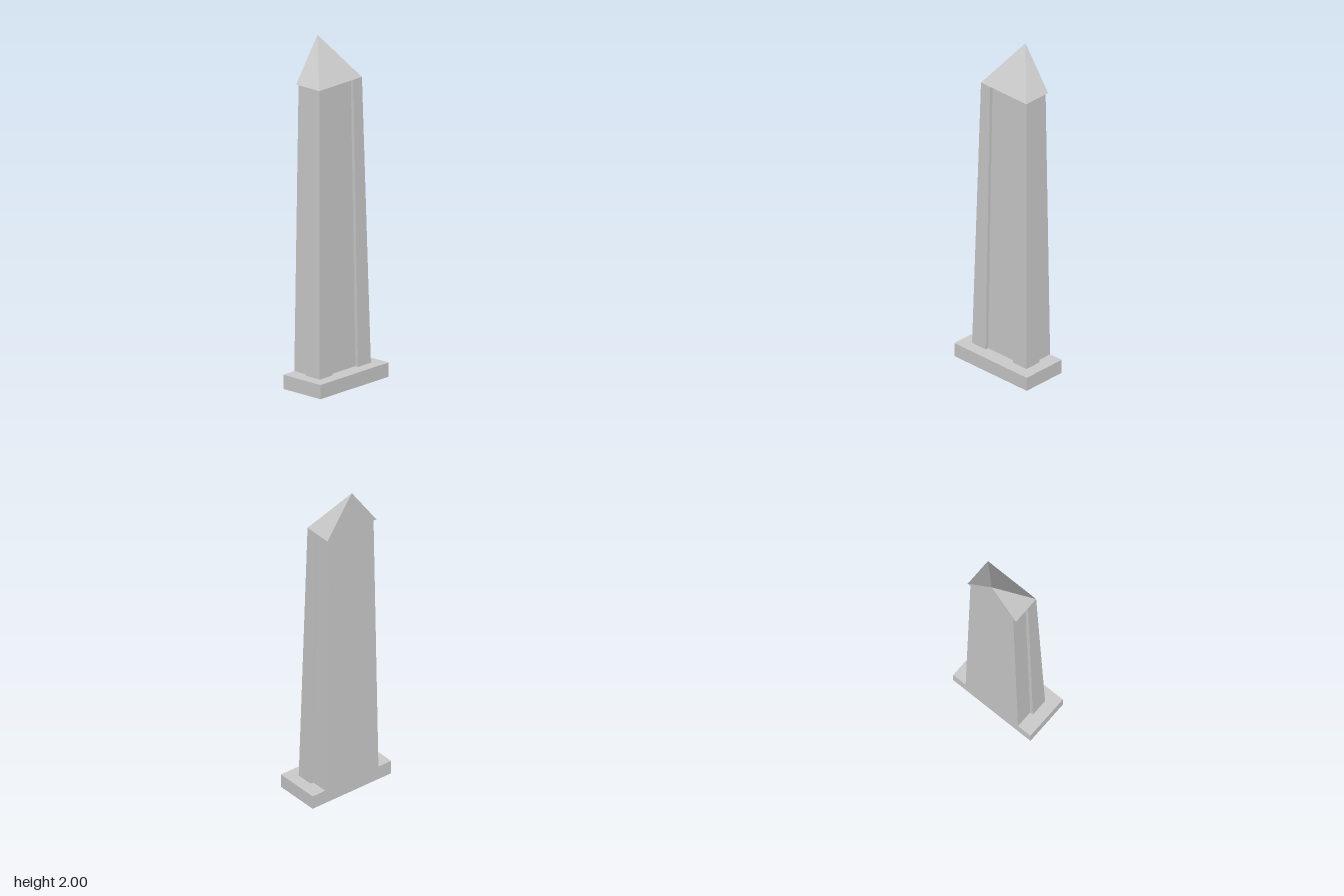
import * as THREE from 'three';

const BACK = -0.14;       // flat rear plane of the half obelisk
const BASE_H = 0.083;
const SHAFT_TOP = 1.75;
const TAPER = 0.035;      // how far each outer face leans in

const material = new THREE.MeshStandardMaterial({ color: 0xcccccc, flatShading: true });

function part(name, geometry) {
  const mesh = new THREE.Mesh(geometry, material);
  mesh.name = name;
  return mesh;
}

// Grooved plan extruded upward; outer and recessed faces lean in, groove sides stay upright
function shaftGeometry() {
  const half = [[BACK, 0.19], [-0.035, 0.19], [-0.035, 0.21], [0.07, 0.21], [0.07, 0.105], [0.05, 0.105]];
  const mirrored = half.map(([x, z]) => [x, -z]).reverse();
  const shape = new THREE.Shape([...half, ...mirrored].map(([x, z]) => new THREE.Vector2(x, z)));
  const height = SHAFT_TOP - BASE_H;
  const geometry = new THREE.ExtrudeGeometry(shape, { depth: height, bevelEnabled: false });
  geometry.rotateX(-Math.PI / 2);
  const p = geometry.attributes.position;
  for (let i = 0; i < p.count; i++) {
    const lean = TAPER * p.getY(i) / height;
    const x = p.getX(i), z = p.getZ(i);
    if (x > 0.04) p.setX(i, x - lean);
    if (Math.abs(z) > 0.15) p.setZ(i, z - Math.sign(z) * lean);
  }
  geometry.translate(0, BASE_H, 0);
  geometry.computeVertexNormals();
  return geometry;
}

// Four-sided pyramid with its rear half pressed flat onto the back plane
function capGeometry() {
  const height = 2 - SHAFT_TOP;
  const cone = new THREE.ConeGeometry(0.175 * Math.SQRT2, height, 4);
  cone.rotateY(Math.PI / 4);
  cone.translate(BACK, SHAFT_TOP + height / 2, 0);
  const geometry = cone.toNonIndexed();
  const p = geometry.attributes.position;
  for (let i = 0; i < p.count; i++) p.setX(i, Math.max(p.getX(i), BACK));
  geometry.computeVertexNormals();
  return geometry;
}

export function createModel() {
  const group = new THREE.Group();
  group.name = 'halfObelisk';

  // Plinth
  const base = part('base', new THREE.BoxGeometry(0.28, BASE_H, 0.56));
  base.position.y = BASE_H / 2;

  group.add(base, part('shaft', shaftGeometry()), part('cap', capGeometry()));
  return group;
}
